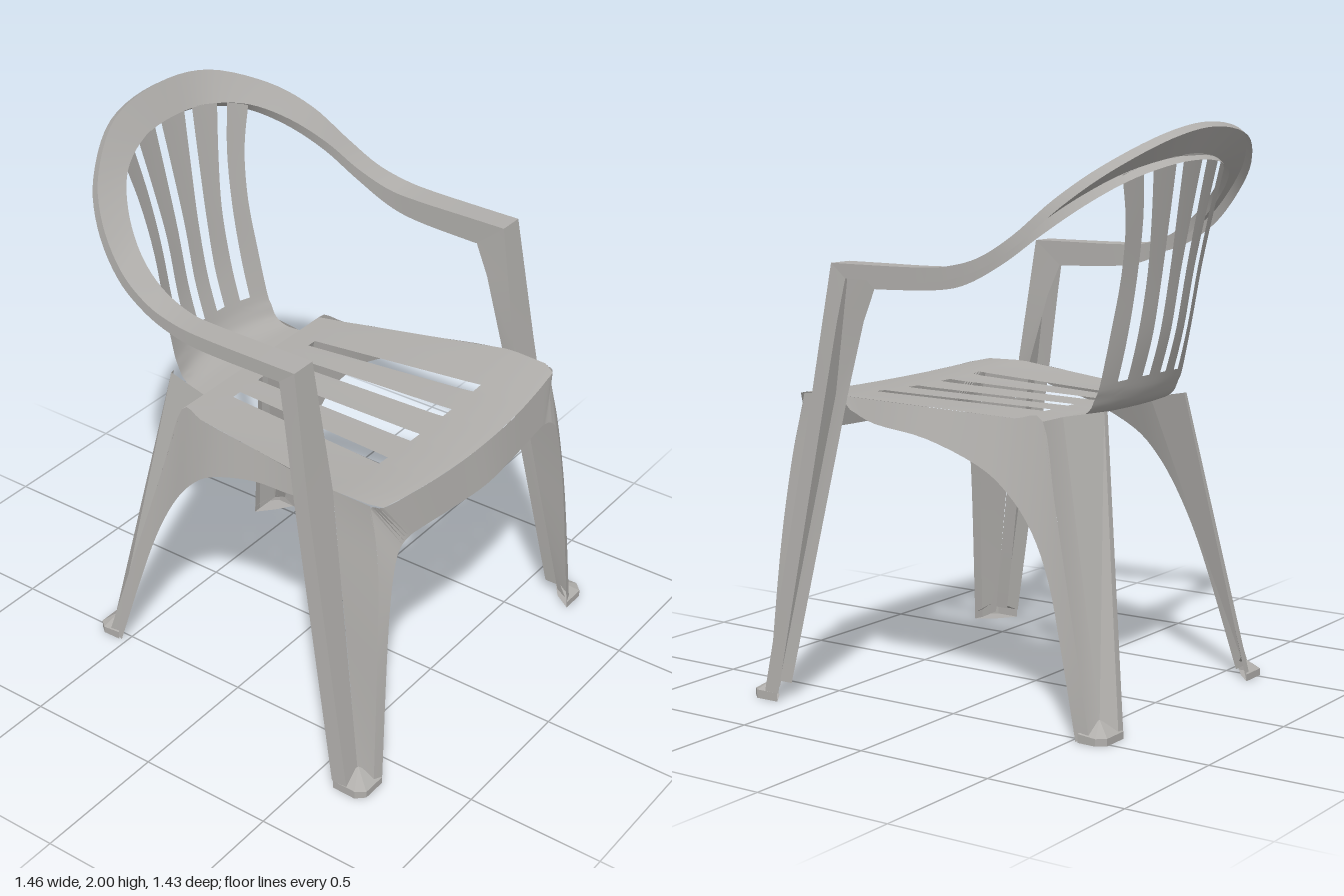
import * as THREE from 'three';
import { toCreasedNormals } from 'three/addons/utils/BufferGeometryUtils.js';

const plastic = new THREE.MeshStandardMaterial({ color: 0xb0aeab, side: THREE.DoubleSide });
plastic.name = 'greyPlastic';

const V = (p) => new THREE.Vector3(...p);
const flip = (rows) => rows.map((r) => r.map(([x, y, z]) => [-x, y, z]));

// Smooths a list of cross-sections lengthwise, n steps per span
function smooth(rows, n) {
  const curves = rows[0].map((_, c) => new THREE.CatmullRomCurve3(rows.map((r) => V(r[c])), false, 'catmullrom', 0.5));
  const total = (rows.length - 1) * n;
  return Array.from({ length: total + 1 }, (_, i) => curves.map((c) => c.getPoint(i / total).toArray()));
}

// Skins cross-sections into a sheet; open(row, column) leaves a hole
function loft(name, rows, crease = 0.6, open = () => false) {
  const w = rows[0].length, index = [];
  for (let r = 0; r < rows.length - 1; r++) {
    for (let c = 0; c < w - 1; c++) {
      if (open(r, c)) continue;
      const a = r * w + c, b = a + w;
      index.push(a, b, a + 1, a + 1, b, b + 1);
    }
  }
  const geo = new THREE.BufferGeometry();
  geo.setAttribute('position', new THREE.Float32BufferAttribute(rows.flat(2), 3));
  geo.setIndex(index);
  const mesh = new THREE.Mesh(toCreasedNormals(geo, crease), plastic);
  mesh.name = name;
  return mesh;
}

// One row across the seat or back: half width, slot edges, centre and edge height and depth
function across(E, [i1, i2, o1, o2], yc, zc, yE, zE) {
  const half = [E, o2, o1, i2, i1];
  const marks = [...half.map((x) => -x), ...half.reverse()];
  const xs = marks.flatMap((x, i) => (i < 9 ? [x, (x + marks[i + 1]) / 2] : [x]));
  return xs.map((x) => {
    const t = (x / E) ** 2;
    return [x, yc + (yE - yc) * t, zc + (zE - zc) * t];
  });
}
const inSlot = (c) => Math.floor(c / 2) % 2 === 1;

// Channel section of the rim, arm and front leg: outer and inner edge, flange offset, inner flange scale
const channel = (O, I, [dy, dz], k) => [
  [O[0], O[1] + dy, O[2] + dz], O, I, [I[0], I[1] + dy * k, I[2] + dz * k],
];

export function createModel() {
  const chair = new THREE.Group();
  chair.name = 'chair';

  // Seat with four slots
  const front = [0.07, 0.125, 0.26, 0.31], rear = [0.06, 0.1, 0.2, 0.24];
  chair.add(loft('seat', [
    across(0.52, front, 1.035, 0.675, 1.055, 0.635),
    across(0.545, front, 1.042, 0.65, 1.065, 0.59),
    across(0.55, front, 1.04, 0.47, 1.067, 0.47),
    across(0.55, [0.069, 0.123, 0.254, 0.304], 1.038, 0.42, 1.065, 0.42),
    across(0.42, rear, 1.028, -0.2, 1.025, -0.2),
    across(0.4, rear, 1.02, -0.3, 1.02, -0.3),
  ], 0.7, (r, c) => (r === 2 || r === 3) && inSlot(c)));

  // Back rising from the seat and splitting into five slats
  const low = [0.035, 0.075, 0.15, 0.195];
  const backRows = smooth([
    across(0.28, rear, 1.02, -0.3, 1.02, -0.3),
    across(0.273, [0.05, 0.09, 0.18, 0.22], 1.025, -0.38, 1.025, -0.36),
    across(0.27, [0.04, 0.08, 0.16, 0.2], 1.05, -0.44, 1.05, -0.4),
    across(0.27, low, 1.09, -0.468, 1.09, -0.42),
    across(0.268, low, 1.15, -0.488, 1.135, -0.438),
    across(0.265, low, 1.3, -0.53, 1.3, -0.475),
    across(0.262, [0.036, 0.078, 0.152, 0.197], 1.5, -0.565, 1.5, -0.515),
    across(0.285, [0.048, 0.088, 0.178, 0.215], 1.7, -0.6, 1.68, -0.545),
    across(0.33, [0.062, 0.1, 0.21, 0.25], 1.895, -0.635, 1.835, -0.56),
  ], 4);
  chair.add(loft('backSlats', backRows, 0.6, (r, c) => r >= 16 && inSlot(c)));

  // Rim and arms as one bent channel
  const halfRim = [
    channel([0.655, 1.53, 0.382], [0.56, 1.53, 0.382], [-0.05, -0.06], 1.8),
    channel([0.655, 1.53, 0.25], [0.56, 1.53, 0.25], [-0.05, -0.005], 1.8),
    channel([0.655, 1.532, 0.02], [0.56, 1.53, 0.02], [-0.05, 0], 1.6),
    channel([0.654, 1.542, -0.1], [0.56, 1.54, -0.11], [-0.045, 0], 1.4),
    channel([0.648, 1.575, -0.22], [0.55, 1.59, -0.24], [-0.035, -0.01], 1.1),
    channel([0.63, 1.65, -0.34], [0.52, 1.67, -0.35], [-0.03, -0.018], 1),
    channel([0.575, 1.765, -0.46], [0.445, 1.76, -0.46], [-0.026, -0.022], 1),
    channel([0.46, 1.87, -0.57], [0.33, 1.835, -0.555], [-0.022, -0.024], 1),
    channel([0.25, 1.967, -0.67], [0.17, 1.878, -0.615], [-0.018, -0.025], 1),
  ];
  const crown = channel([0, 2, -0.69], [0, 1.89, -0.63], [-0.016, -0.026], 1);
  chair.add(loft('rimAndArms', smooth([...halfRim, crown, ...flip(halfRim).reverse()], 5)));

  // Front apron running down into the front of both legs
  const halfApron = [
    [[0.645, 0, 0.7], [0.61, 0, 0.71]],
    [[0.6, 0.5, 0.675], [0.565, 0.5, 0.69]],
    [[0.565, 0.8, 0.65], [0.535, 0.72, 0.68]],
    [[0.55, 0.95, 0.625], [0.505, 0.84, 0.675]],
    [[0.545, 1.05, 0.6], [0.47, 0.885, 0.67]],
    [[0.52, 1.055, 0.635], [0.42, 0.902, 0.67]],
    [[0.4, 1.047, 0.652], [0.36, 0.903, 0.675]],
    [[0.2, 1.038, 0.67], [0.18, 0.895, 0.69]],
  ];
  const middle = [[0, 1.035, 0.675], [0, 0.89, 0.7]];
  chair.add(loft('frontApron', smooth([...halfApron, middle, ...flip(halfApron).reverse()], 4)));

  // Parts of one side, mirrored to the other
  const legStrip = [
    halfRim[0],
    channel([0.666, 1.34, 0.412], [0.556, 1.34, 0.412], [-0.01, -0.06], 1.45),
    channel([0.681, 1.07, 0.455], [0.55, 1.07, 0.455], [0, -0.058], 0.9),
    channel([0.728, 0.03, 0.645], [0.655, 0.05, 0.64], [0, -0.06], 0.9),
  ];
  const legWall = smooth([
    [[0.655, 0.03, 0.64], [0.645, 0, 0.7]],
    [[0.606, 0.5, 0.558], [0.6, 0.5, 0.675]],
    [[0.578, 0.8, 0.504], [0.565, 0.8, 0.65]],
    [[0.562, 0.95, 0.477], [0.55, 0.95, 0.625]],
    [[0.55, 1.067, 0.455], [0.545, 1.06, 0.6]],
  ], 4);
  const skirt = smooth([
    [[0.55, 1.065, 0.44], [0.555, 1.02, 0.39]],
    [[0.53, 1.058, 0.31], [0.545, 0.978, 0.29]],
    [[0.487, 1.045, 0.12], [0.515, 0.942, 0.1]],
    [[0.444, 1.032, -0.09], [0.49, 0.865, -0.1]],
    [[0.42, 1.025, -0.2], [0.475, 0.78, -0.21]],
    [[0.4, 1.02, -0.3], [0.467, 0.66, -0.3]],
    [[0.434, 0.77, -0.368], [0.477, 0.5, -0.375]],
    [[0.471, 0.5, -0.442], [0.502, 0.29, -0.44]],
    [[0.535, 0.03, -0.57], [0.535, 0, -0.52]],
  ], 4);
  const rearLeg = [
    [[0.4, 1.02, -0.3], [0.28, 1.02, -0.3], [0.268, 1.05, -0.455], [0.25, 1.05, -0.457]],
    [[0.535, 0.03, -0.57], [0.475, 0.06, -0.575], [0.445, 0, -0.63], [0.415, 0, -0.63]],
  ];
  const foot = (apex, rim) => [
    rim.map(() => apex), rim, rim.map(([x, , z]) => [x, 0, z]), rim.map(() => [apex[0], 0, apex[2]]),
  ];
  const frontFoot = foot([0.655, 0.07, 0.643],
    [[0.728, 0.03, 0.59], [0.73, 0.03, 0.68], [0.702, 0.025, 0.71], [0.61, 0.025, 0.71]]);
  const rearFoot = foot([0.475, 0.07, -0.575],
    [[0.538, 0.03, -0.53], [0.54, 0.025, -0.6], [0.515, 0.025, -0.63], [0.415, 0.025, -0.63]]);

  for (const [side, place] of [['left', (r) => r], ['right', flip]]) {
    chair.add(
      loft(side + 'FrontLegStrip', place(legStrip), 0.3),
      loft(side + 'FrontLegWall', place(legWall)),
      loft(side + 'SideSkirt', place(skirt)),
      loft(side + 'RearLeg', place(rearLeg), 0.3),
      loft(side + 'FrontFoot', place(frontFoot), 0.3),
      loft(side + 'RearFoot', place(rearFoot), 0.3),
    );
  }
  return chair;
}
